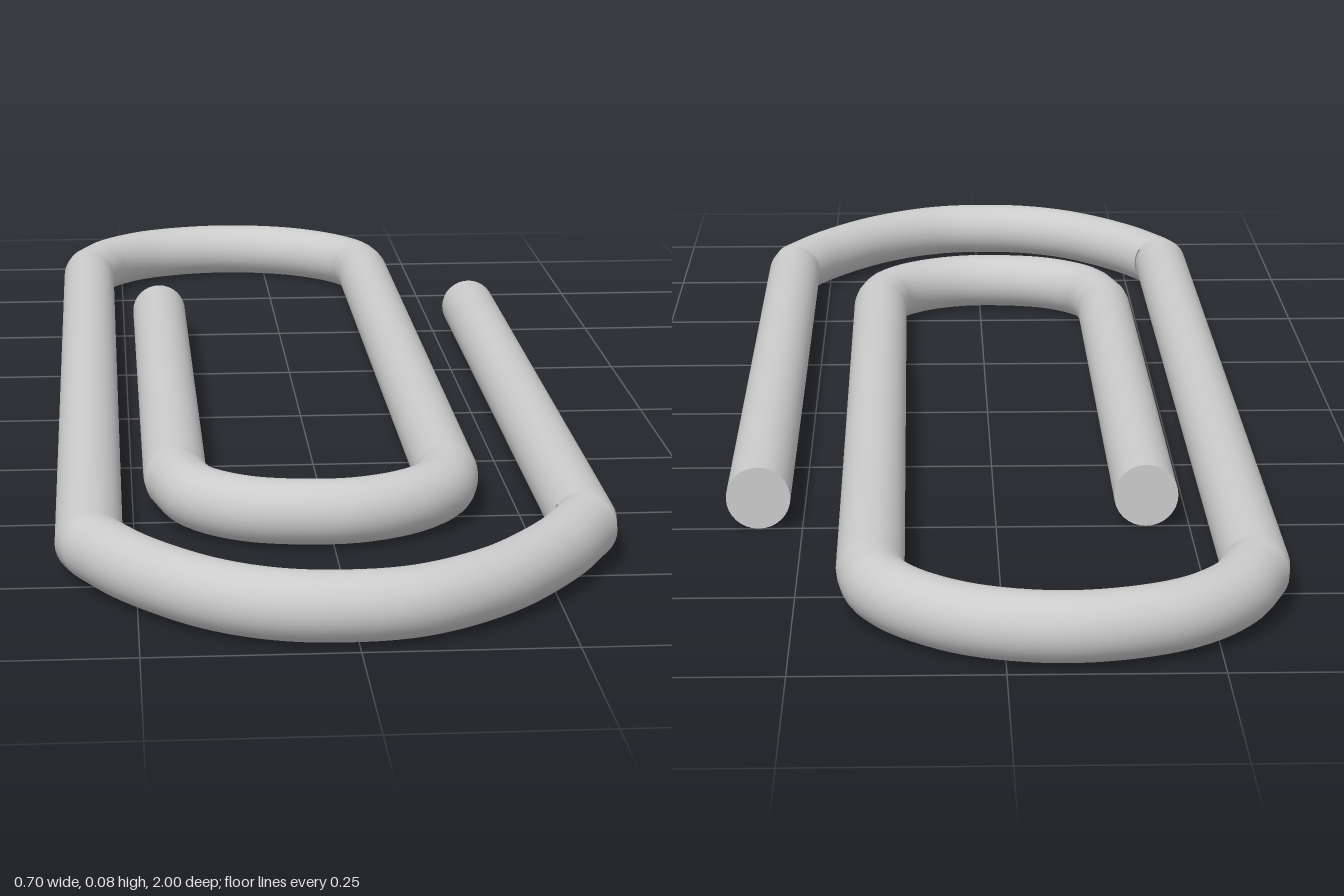
import * as THREE from 'three';

const R = 0.0415; // wire radius

export function createModel() {
  const group = new THREE.Group();
  group.name = 'paperClip';
  const material = new THREE.MeshStandardMaterial({ color: 0xcccccc });
  const at = ([x, z]) => new THREE.Vector3(x, R, z);

  // Bends of the wire as [x, z], listed from the outer end to the inner end
  const outerBend = [[0.3065, 0.68], [0.255, 0.775], [0.165, 0.885], [0.07, 0.946], [-0.013, 0.9585],
    [-0.09, 0.947], [-0.165, 0.905], [-0.25, 0.81], [-0.3065, 0.71]];
  const backBend = [[-0.3065, -0.78], [-0.27, -0.86], [-0.2, -0.925], [-0.08, -0.9585], [0.03, -0.938],
    [0.105, -0.885], [0.146, -0.825], [0.158, -0.77]];
  const innerBend = [[0.161, 0.45], [0.146, 0.508], [0.1, 0.562], [0.03, 0.595], [-0.04, 0.597],
    [-0.11, 0.578], [-0.168, 0.525], [-0.194, 0.44]];
  const outerEnd = [0.3065, -0.5], innerEnd = [-0.194, -0.5];

  // Straight legs joined by smooth bends
  const path = new THREE.CurvePath();
  let last = outerEnd;
  for (const bend of [outerBend, backBend, innerBend]) {
    path.add(new THREE.LineCurve3(at(last), at(bend[0])));
    path.add(new THREE.CatmullRomCurve3(bend.map(at)));
    last = bend[bend.length - 1];
  }
  path.add(new THREE.LineCurve3(at(last), at(innerEnd)));

  const wire = new THREE.Mesh(new THREE.TubeGeometry(path, 400, R, 32), material);
  wire.name = 'wire';
  group.add(wire);

  // Flat cut ends, both facing the back
  for (const [name, end] of [['outerEndCap', outerEnd], ['innerEndCap', innerEnd]]) {
    const cap = new THREE.Mesh(new THREE.CircleGeometry(R, 32), material);
    cap.name = name;
    cap.position.copy(at(end));
    cap.rotation.y = Math.PI;
    group.add(cap);
  }
  return group;
}
